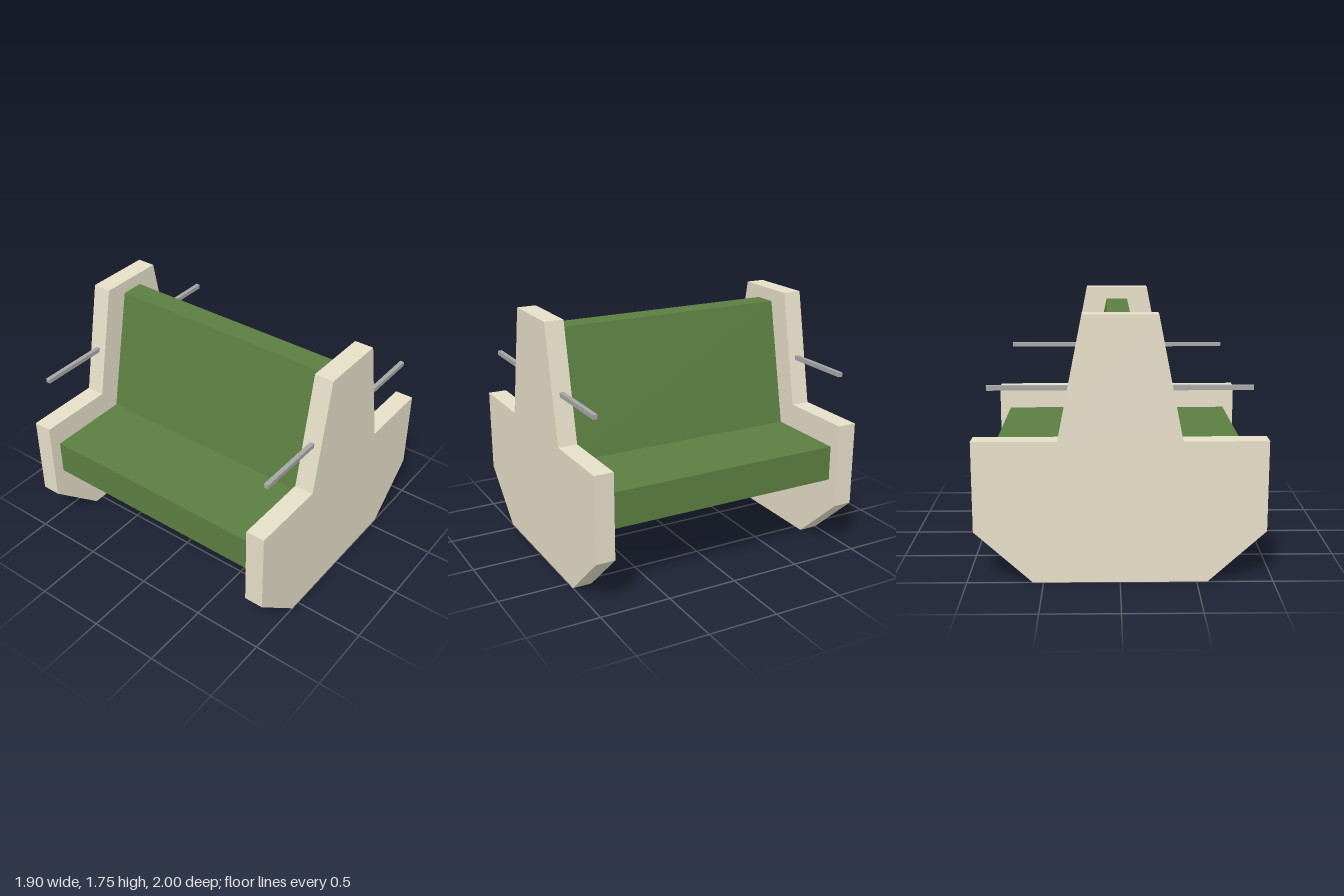
import * as THREE from 'three';

export function createModel() {
  const group = new THREE.Group();
  const paint = (color) => new THREE.MeshStandardMaterial({ color, flatShading: true });
  const cream = paint(0xe6dec8);
  const green = paint(0x5b7e41);
  const metal = paint(0xa6a6a6);

  const add = (name, geometry, material, x, y, z) => {
    const mesh = new THREE.Mesh(geometry, material);
    mesh.name = name;
    mesh.position.set(x, y, z);
    group.add(mesh);
  };

  // Slab from the right half of a symmetric outline, centred on z
  const slab = (half, depth) => {
    const mirrored = half.map(([x, y]) => [-x, y]).reverse();
    const points = [...half, ...mirrored].map(([x, y]) => new THREE.Vector2(x, y));
    return new THREE.ExtrudeGeometry(new THREE.Shape(points), { depth, bevelEnabled: false })
      .translate(0, 0, -depth / 2);
  };

  // Double-sided bench: flat seat with a tapered shared backrest
  const span = 1.73;
  add('seat', new THREE.BoxGeometry(1.735, 0.25, span), green, 0, 0.645, 0);
  add('backrest', slab([[0.262, 0.77], [0.082, 1.66]], span), green, 0, 0, 0);

  // End panels, each with a thin square rod on either side
  const panel = slab([[0.57, 0], [0.95, 0.345], [0.95, 0.945], [0.4, 0.945], [0.24, 1.75]], 0.135);
  const rod = new THREE.BoxGeometry(0.525, 0.031, 0.031);
  for (const [end, sz] of [['front', 1], ['back', -1]]) {
    add(end + 'Panel', panel, cream, 0, 0, sz * 0.9325);
    for (const [side, sx] of [['Left', 1], ['Right', -1]]) {
      add(end + side + 'Rod', rod, metal, sx * 0.5825, 1.28, sz * 0.9325);
    }
  }

  return group;
}
